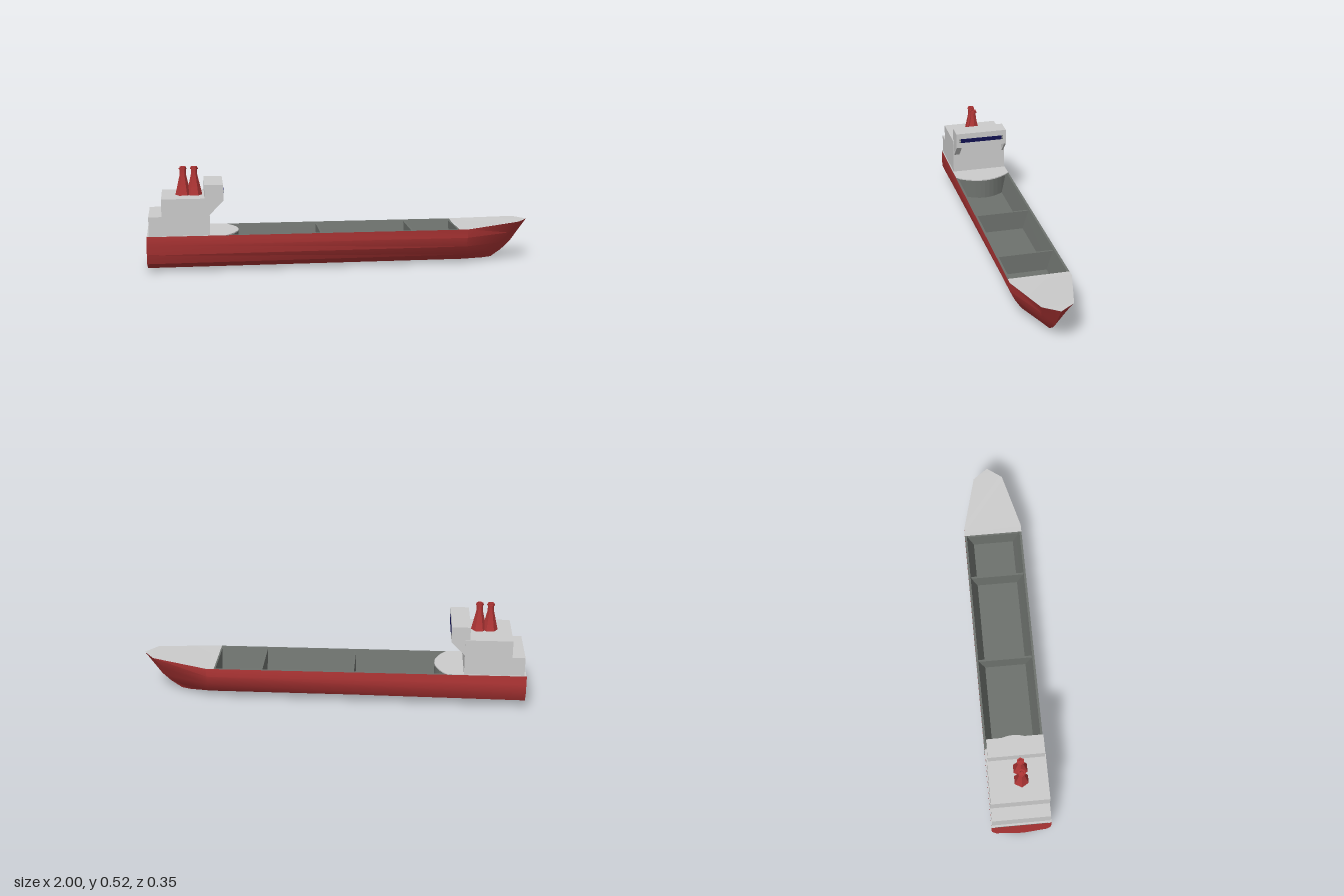
import * as THREE from 'three';
import { toCreasedNormals } from 'three/addons/utils/BufferGeometryUtils.js';

const mat = (name, color, side = THREE.FrontSide) => {
  const m = new THREE.MeshStandardMaterial({ color, side });
  m.name = name;
  return m;
};

// Skin through rows of [x, y, z] points
function loft(rows, crease = 0.5) {
  const pos = [];
  for (let s = 0; s < rows.length - 1; s++) {
    for (let i = 0; i < rows[s].length - 1; i++) {
      const a = rows[s][i], b = rows[s + 1][i], c = rows[s + 1][i + 1], d = rows[s][i + 1];
      pos.push(...a, ...d, ...c, ...a, ...c, ...b);
    }
  }
  const g = new THREE.BufferGeometry();
  g.setAttribute('position', new THREE.Float32BufferAttribute(pos, 3));
  return toCreasedNormals(g, crease);
}

export function createModel() {
  const red = mat('hull red', 0xb23636);
  const keelRed = mat('keel dark red', 0x8b0000);
  const white = mat('deck light grey', 0xcccccc);
  const grey = mat('hold grey', 0x6e726e);
  const navy = mat('window navy', 0x101050);

  const root = new THREE.Group();
  const ship = new THREE.Group();
  ship.name = 'cargoShip';
  ship.rotation.y = -0.0245;
  ship.position.z = 0.002;
  root.add(ship);

  const add = (name, geo, material, x = 0, y = 0, z = 0) => {
    const m = new THREE.Mesh(geo, material);
    m.name = name;
    m.position.set(x, y, z);
    ship.add(m);
    return m;
  };
  const box = (name, x0, x1, y0, y1, half, material) =>
    add(name, new THREE.BoxGeometry(x1 - x0, y1 - y0, half * 2), material, (x0 + x1) / 2, (y0 + y1) / 2, 0);
  // Horizontal slab cut from an outline in x and z
  const slab = (name, shape, y0, y1, material) => {
    const g = new THREE.ExtrudeGeometry(shape, { depth: y1 - y0, bevelEnabled: false, curveSegments: 10 });
    g.rotateX(-Math.PI / 2);
    return add(name, g, material, 0, y0, 0);
  };

  // Hull stations: side points from gunwale to keel
  const stations = [
    [[-1, 0.19, 0.152], [-1, 0.145, 0.152], [-1, 0.094, 0.151], [-1, 0.045, 0.13], [-1, 0, 0.022]],
    [[0.65, 0.19, 0.155], [0.65, 0.146, 0.155], [0.65, 0.095, 0.13], [0.65, 0.045, 0.097], [0.65, 0.005, 0.024]],
    [[0.94, 0.21, 0.078], [0.89, 0.15, 0.065], [0.85, 0.095, 0.052], [0.81, 0.05, 0.038], [0.765, 0.008, 0.014]],
    [[0.998, 0.21, 0], [0.95, 0.145, 0], [0.912, 0.092, 0], [0.865, 0.048, 0], [0.81, 0.01, 0]],
  ];
  const mirrored = (row) => row.map(([x, y, z]) => [x, y, -z]).reverse();
  add('hullLeftSide', loft(stations, 0.55), red);
  add('hullRightSide', loft(stations.map(mirrored), 0.55), red);
  add('keelStrip', loft(stations.map((r) => [r[4], mirrored(r)[0]])), keelRed);

  // Transom closes the stern
  const transom = new THREE.Shape([...stations[0], ...mirrored(stations[0])].map(([, y, z]) => new THREE.Vector2(z, y)));
  add('transom', new THREE.ShapeGeometry(transom), red, -1, 0, 0).rotation.y = -Math.PI / 2;

  // Rim, sloping walls and floor of the open hold
  const holdRow = (x, w) => [[x, 0.19, -w], [x, 0.19, -w + 0.011], [x, 0.08, -0.108],
    [x, 0.08, 0.108], [x, 0.19, w - 0.011], [x, 0.19, w]];
  add('holdLining', loft([holdRow(-0.62, 0.1525), holdRow(0.62, 0.155)], 0.2), grey);

  // Bulkheads across the hold
  const wall = new THREE.Shape([[-0.108, 0.08], [0.108, 0.08], [0.14, 0.183], [-0.14, 0.183]]
    .map(([z, y]) => new THREE.Vector2(z, y)));
  const wallGeo = new THREE.ExtrudeGeometry(wall, { depth: 0.01, bevelEnabled: false });
  for (const x of [-0.11, 0.365, 0.61]) {
    add('bulkhead', wallGeo, grey, x - 0.005, 0, 0).rotation.y = Math.PI / 2;
  }

  // Foredeck rising to the stem
  const foreRow = (x, y, w) => [[x, y, -w], [x, y, w]];
  add('foredeck', loft([foreRow(0.61, 0.191, 0.155), foreRow(0.65, 0.191, 0.155),
    foreRow(0.94, 0.211, 0.078), foreRow(0.998, 0.211, 0)]), white);

  // Aft deck with a bowed front edge over a bowed hold wall
  const bowed = (w, x) => {
    const s = new THREE.Shape();
    s.moveTo(-0.998, -w);
    s.lineTo(x, -w);
    s.quadraticCurveTo(-0.465, 0, x, w);
    s.lineTo(-0.998, w);
    return s;
  };
  slab('aftDeck', bowed(0.151, -0.595), 0.186, 0.192, white);
  slab('holdAftWall', bowed(0.132, -0.597), 0.08, 0.186, grey);

  // Stepped deckhouse and overhanging bridge
  box('lowerDeckhouse', -0.988, -0.68, 0.19, 0.29, 0.147, white);
  box('upperDeckhouse', -0.922, -0.68, 0.29, 0.38, 0.147, white);
  box('bridge', -0.705, -0.61, 0.365, 0.448, 0.142, white);

  // Brackets under the bridge ends
  const bracket = new THREE.Shape([[-0.685, 0.29], [-0.61, 0.366], [-0.685, 0.366]]
    .map(([x, y]) => new THREE.Vector2(x, y)));
  for (const [z, depth] of [[0.112, 0.03], [-0.142, 0.01]]) {
    add('bridgeBracket', new THREE.ExtrudeGeometry(bracket, { depth, bevelEnabled: false }), white, 0, 0, z);
  }

  // Bridge window with small end frames
  box('bridgeWindow', -0.612, -0.607, 0.395, 0.417, 0.116, navy);
  for (const side of [-1, 1]) {
    for (const y of [0.399, 0.413]) {
      add('windowFrame', new THREE.BoxGeometry(0.004, 0.008, 0.008), grey, -0.61, y, side * 0.12);
    }
  }

  // Pair of six-sided funnels with a rim
  const profile = [[0.04, 0], [0.016, 0.105], [0.016, 0.132], [0.02, 0.132], [0.02, 0.138],
    [0.017, 0.138], [0.017, 0.145], [0.011, 0.145], [0.011, 0.12], [0, 0.12]]
    .map(([r, y]) => new THREE.Vector2(r, y));
  const funnel = toCreasedNormals(new THREE.LatheGeometry(profile, 6, Math.PI / 2), 0.2);
  for (const x of [-0.811, -0.754]) add('funnel', funnel, red, x, 0.38, 0.014);

  return root;
}
